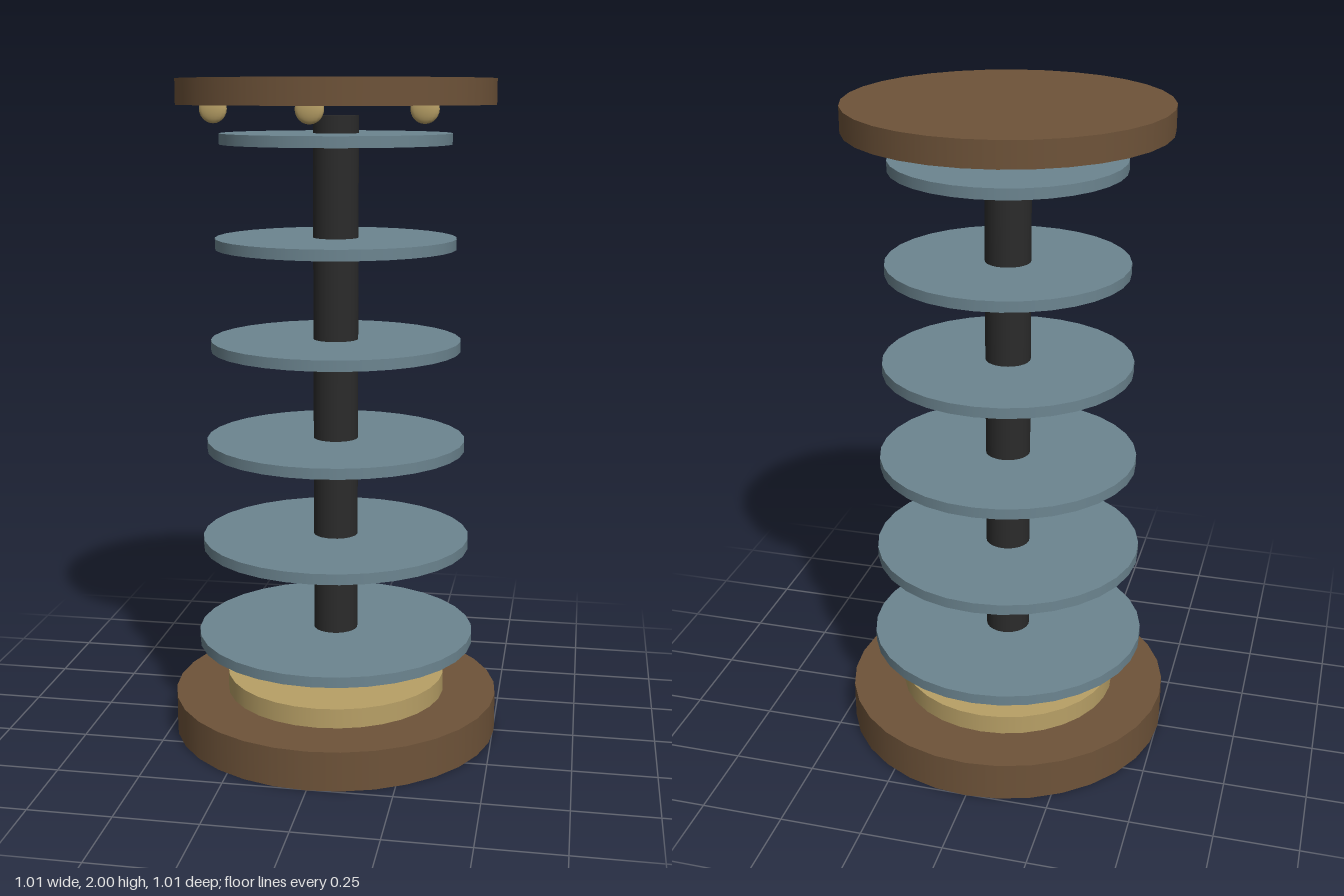
import * as THREE from 'three';

const material = (name, color) => {
  const m = new THREE.MeshStandardMaterial({ color });
  m.name = name;
  return m;
};

export function createModel() {
  const model = new THREE.Group();
  model.name = 'discTower';
  const wood = material('brownWood', 0x6e5339);
  const brass = material('brass', 0xb8a066);
  const steel = material('blueGreySteel', 0x6c8590);
  const black = material('blackMetal', 0x2b2b2b);

  // Upright disc or column spanning y0 to y1
  function disc(name, radius, y0, y1, mat, sides = 32) {
    const mesh = new THREE.Mesh(new THREE.CylinderGeometry(radius, radius, y1 - y0, sides), mat);
    mesh.name = name;
    mesh.position.y = (y0 + y1) / 2;
    model.add(mesh);
  }

  // Plinth, collar, central column and cap
  disc('base', 0.504, 0, 0.12, wood);
  disc('collar', 0.34, 0.12, 0.18, brass);
  disc('column', 0.068, 0.18, 1.895, black, 24);
  disc('cap', 0.47, 1.925, 2, wood);

  // Six shelves, shrinking upwards
  for (let i = 0; i < 6; i++) {
    const y = 0.3 + i * 0.3055;
    disc('shelf' + (i + 1), 0.427 - i * 0.0166, y - 0.016, y + 0.016, steel);
  }

  // Three flattened knobs under the front of the cap
  for (const angle of [-Math.PI / 4, 0, Math.PI / 4]) {
    const knob = new THREE.Mesh(new THREE.SphereGeometry(0.04, 16, 12), brass);
    knob.name = 'knob';
    knob.scale.z = 0.36;
    knob.position.set(Math.sin(angle) * 0.417, 1.916, Math.cos(angle) * 0.417);
    model.add(knob);
  }
  return model;
}
